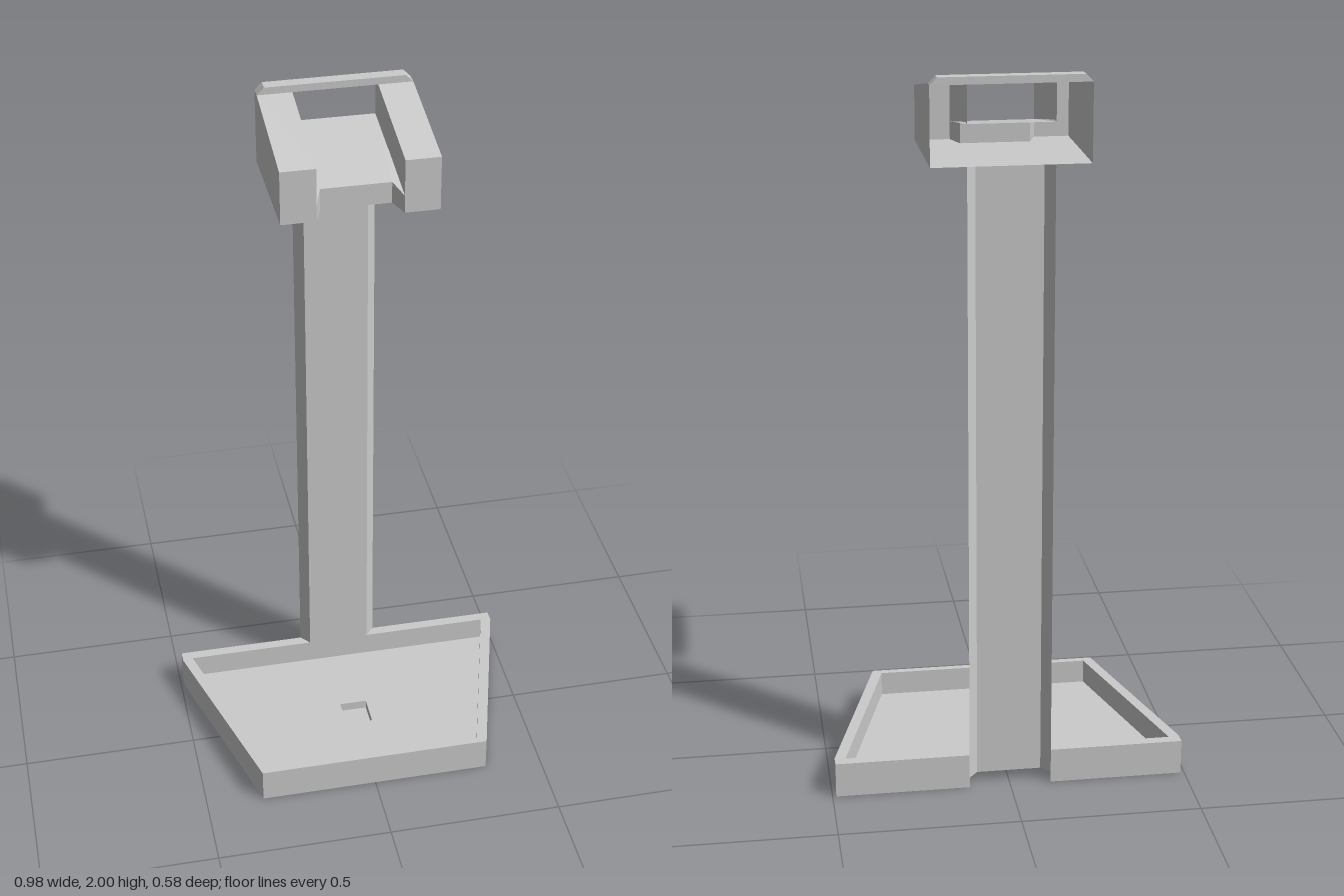
import * as THREE from 'three';

const material = new THREE.MeshStandardMaterial({
  color: 0xcccccc, flatShading: true, side: THREE.DoubleSide,
});

function add(group, name, geometry) {
  const mesh = new THREE.Mesh(geometry, material);
  mesh.name = name;
  group.add(mesh);
}

// Horizontal sheet from an [x, z] outline; y is a number or a function of z
function sheet(outline, y, hole) {
  const shape = new THREE.Shape(outline.map(p => new THREE.Vector2(...p)));
  if (hole) shape.holes.push(new THREE.Path(hole.map(p => new THREE.Vector2(...p))));
  const geometry = new THREE.ShapeGeometry(shape).rotateX(Math.PI / 2);
  const pos = geometry.attributes.position;
  for (let i = 0; i < pos.count; i++) {
    pos.setY(i, typeof y === 'function' ? y(pos.getZ(i)) : y);
  }
  geometry.computeVertexNormals();
  return geometry;
}

// Upright wall along an [x, z] path; each height is a number or a function of z
function wall(path, low, high) {
  const at = (h, z) => (typeof h === 'function' ? h(z) : h);
  const v = [];
  for (let i = 0; i + 1 < path.length; i++) {
    const [ax, az] = path[i], [bx, bz] = path[i + 1];
    const a = [ax, at(low, az), az], b = [bx, at(low, bz), bz];
    const c = [bx, at(high, bz), bz], d = [ax, at(high, az), az];
    v.push(...a, ...b, ...c, ...a, ...c, ...d);
  }
  const geometry = new THREE.BufferGeometry();
  geometry.setAttribute('position', new THREE.Float32BufferAttribute(v, 3));
  geometry.computeVertexNormals();
  return geometry;
}

// Completes a path given for +x by its mirror image
const mirror = half => [...half, ...half.map(([x, z]) => [-x, z]).reverse()];
const close = path => [...path, path[0]];

export function createModel() {
  const model = new THREE.Group();
  model.name = 'stand';
  const BACK = -0.29, PANEL = -0.26, FLOOR = 0.03, RIM = 0.1, HEAD = 1.77;

  // Hollow tray base, its rim interrupted by the column channel
  const base = new THREE.Group();
  base.name = 'base';
  const outer = mirror([[0.115, BACK], [0.49, BACK], [0.49, -0.255], [0.335, 0.29]]);
  const inner = mirror([[0.46, PANEL], [0.31, 0.27]]);
  const pit = mirror([[0.04, -0.035], [0.04, 0.055]]);
  add(base, 'outerWall', wall(outer, 0, RIM));
  add(base, 'innerWall', wall(close(inner), FLOOR, RIM));
  add(base, 'rim', sheet([...outer, [-0.09, PANEL], ...inner.slice().reverse(), [0.09, PANEL]], RIM));
  add(base, 'trayFloor', sheet(inner, FLOOR, pit));
  add(base, 'pitWall', wall(close(pit), 0.003, FLOOR));
  add(base, 'pitFloor', sheet(pit, 0.003));
  model.add(base);

  // Column: a channel with splayed flanks, open at the back
  add(model, 'column', wall(mirror([[0.115, BACK], [0.09, PANEL]]), FLOOR, HEAD));

  // Hollow cradle head with sloping arms and shelf
  const head = new THREE.Group();
  head.name = 'head';
  const armTop = z => Math.min(1.98, 1.92 + 0.06 * (0.07 - z) / 0.325);
  const shelfY = z => 1.83 + 0.05 * Math.min(1, (0.01 - z) / 0.27);
  const notch = [[0.115, 0.07], [0.095, 0.01]];
  add(head, 'underside', sheet(mirror([[0.21, BACK], [0.21, 0.07], ...notch]), HEAD));
  add(head, 'shelf', sheet(mirror([[0.115, BACK], ...notch]), shelfY));
  add(head, 'shelfFront', wall(mirror(notch), HEAD, shelfY));
  for (const s of [1, -1]) {
    const arm = new THREE.Group();
    arm.name = s > 0 ? 'leftArm' : 'rightArm';
    const i = 0.115 * s, o = 0.21 * s;
    add(arm, 'armOuterWall', wall([[o, BACK], [o, -0.255], [o, 0.07]], HEAD, armTop));
    add(arm, 'armFront', wall([[o, 0.07], [i, 0.07]], HEAD, armTop));
    add(arm, 'armInnerWall', wall([[i, 0.07], [i, -0.255], [i, BACK]], shelfY, armTop));
    add(arm, 'armTop', sheet([[i, -0.255], [o, -0.255], [o, 0.07], [i, 0.07]], armTop));
    head.add(arm);
  }

  // Strap with bevelled ends joining the arms at the back
  const strap = new THREE.Shape([[-0.21, 1.98], [0.21, 1.98], [0.19, 2], [-0.19, 2]]
    .map(p => new THREE.Vector2(...p)));
  add(head, 'strap', new THREE.ExtrudeGeometry(strap, { depth: 0.035, bevelEnabled: false })
    .translate(0, 0, BACK));
  model.add(head);

  return model;
}
